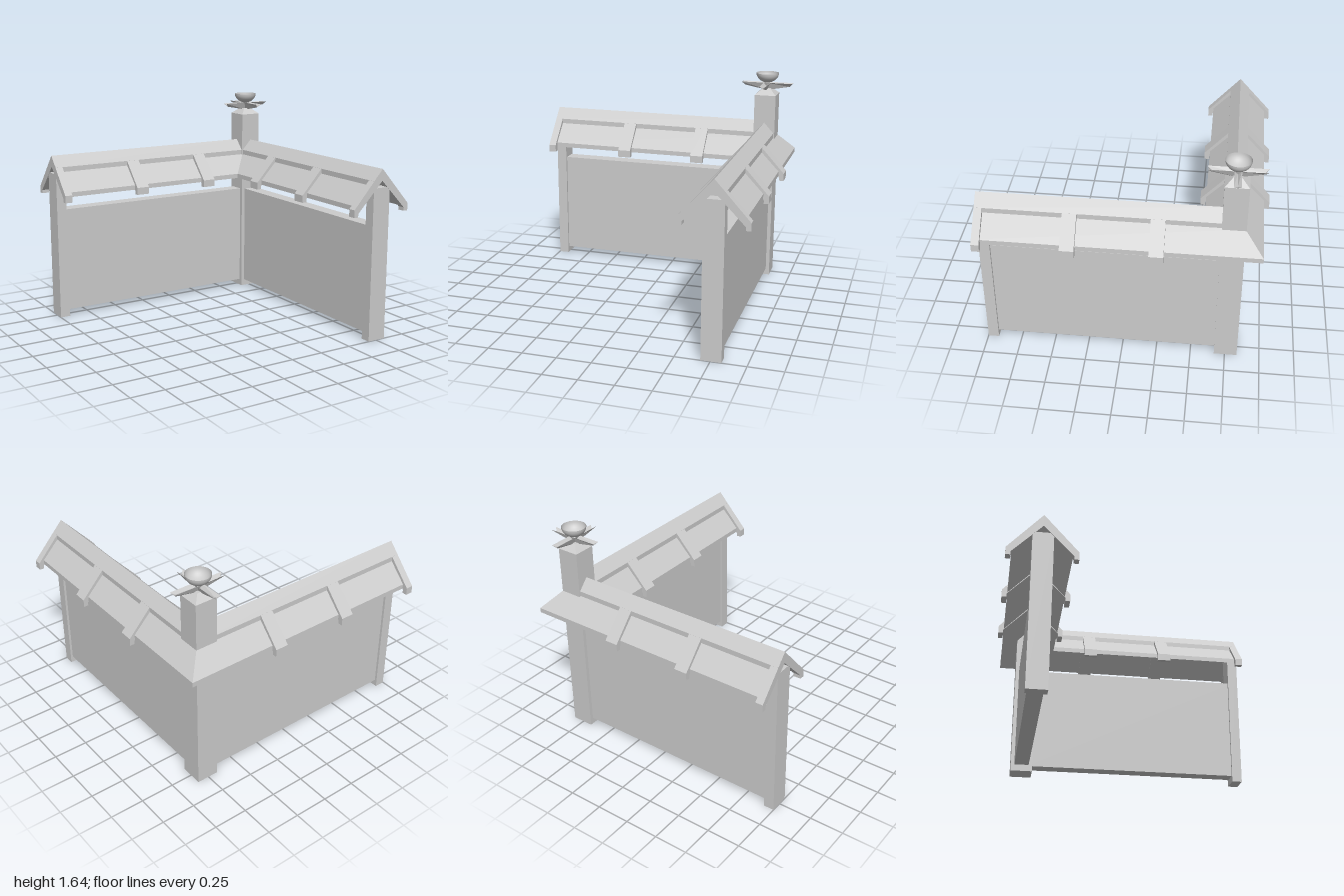
import * as THREE from 'three';

const CORNER = 0.755, LENGTH = 1.755; // corner post position, arm length to its free end
const grey = new THREE.MeshStandardMaterial({ color: 0xcccccc, flatShading: true });
const bowlGrey = new THREE.MeshStandardMaterial({ color: 0xcccccc, side: THREE.DoubleSide });

function add(parent, name, geometry, x = 0, y = 0, z = 0, material = grey) {
  const mesh = new THREE.Mesh(geometry, material);
  mesh.name = name;
  mesh.position.set(x, y, z);
  parent.add(mesh);
  return mesh;
}

// Half profile (apex first, apex last) mirrored into a closed roof section
function gable(half) {
  const left = half.slice(1, -1).reverse().map(([x, y]) => [-x, y]);
  return new THREE.Shape([...half, ...left].map(([x, y]) => new THREE.Vector2(x, y)));
}

const roofSection = gable([[0, 1.265], [0.075, 1.183], [0.075, 1.146], [0.205, 1.01], [0.205, 0.975], [0, 1.19]]);
const rafterSection = gable([[0, 1.265], [0.245, 0.995], [0.245, 0.94], [0.21, 0.94], [0.21, 0.965], [0, 1.18]]);

const extrude = (shape, depth) => new THREE.ExtrudeGeometry(shape, { depth, bevelEnabled: false });

// One wall with its roof, running along +z from the corner; side is the outer side
function createArm(name, side) {
  const arm = new THREE.Group();
  arm.name = name;

  // Roof, mitred at the corner end
  const roof = extrude(roofSection, LENGTH);
  const p = roof.attributes.position;
  for (let i = 0; i < p.count; i++) {
    if (p.getZ(i) < 0.001) p.setZ(i, -side * p.getX(i));
  }
  roof.computeVertexNormals();
  add(arm, 'roof', roof);

  // Raised rafters over the roof
  for (const [start, width] of [[0.455, 0.1], [1.055, 0.1], [1.7, 0.056]]) {
    add(arm, 'rafter', extrude(rafterSection, width), 0, 0, start);
  }

  add(arm, 'wallPanel', new THREE.BoxGeometry(0.11, 0.8, 1.66), 0, 0.45, 0.88);
  add(arm, 'endPost', new THREE.BoxGeometry(0.145, 1.13, 0.077), 0, 0.565, LENGTH - 0.0395);
  return arm;
}

// Folded leaf: V-shaped section swept outward along +z
function petalGeometry() {
  const sections = [
    { z: 0, keel: 1.51, trough: 1.54, rimZ: 0 },
    { z: 0.175, keel: 1.543, trough: 1.556, rimZ: 0.2 },
  ].map(s => [[0.025, 1.57, s.rimZ], [0, s.trough, s.z], [-0.025, 1.57, s.rimZ], [0, s.keel, s.z]]);
  const [a, b] = sections;
  const v = [];
  for (let i = 0; i < 4; i++) {
    const j = (i + 1) % 4;
    v.push(...a[i], ...a[j], ...b[j], ...a[i], ...b[j], ...b[i]);
  }
  v.push(...b[1], ...b[2], ...b[3], ...b[1], ...b[3], ...b[0]);
  const g = new THREE.BufferGeometry();
  g.setAttribute('position', new THREE.Float32BufferAttribute(v, 3));
  g.computeVertexNormals();
  return g;
}

function createCornerPost() {
  const post = new THREE.Group();
  post.name = 'cornerPost';
  add(post, 'shaft', new THREE.BoxGeometry(0.165, 1.48, 0.165), 0, 0.74, 0);
  const cap = new THREE.CylinderGeometry(0.03 * Math.SQRT2, 0.0825 * Math.SQRT2, 0.045, 4);
  cap.rotateY(Math.PI / 4);
  add(post, 'cap', cap, 0, 1.5025, 0);

  // Four petals carrying an open bowl
  for (let i = 0; i < 4; i++) {
    add(post, 'petal', petalGeometry()).rotation.y = i * Math.PI / 2;
  }
  const profile = [];
  for (let i = 0; i <= 10; i++) {
    const t = (i / 10) * Math.PI / 2;
    profile.push(new THREE.Vector2(0.088 * Math.sin(t), 1.645 - 0.075 * Math.cos(t)));
  }
  add(post, 'bowl', new THREE.LatheGeometry(profile, 32), 0, 0, 0, bowlGrey);
  return post;
}

export function createModel() {
  const model = new THREE.Group();
  model.name = 'cornerWall';
  const front = createArm('frontArm', 1);
  const back = createArm('backArm', -1);
  back.rotation.y = -Math.PI / 2;
  for (const part of [front, back, createCornerPost()]) {
    part.position.set(CORNER, 0, -CORNER);
    model.add(part);
  }
  return model;
}
